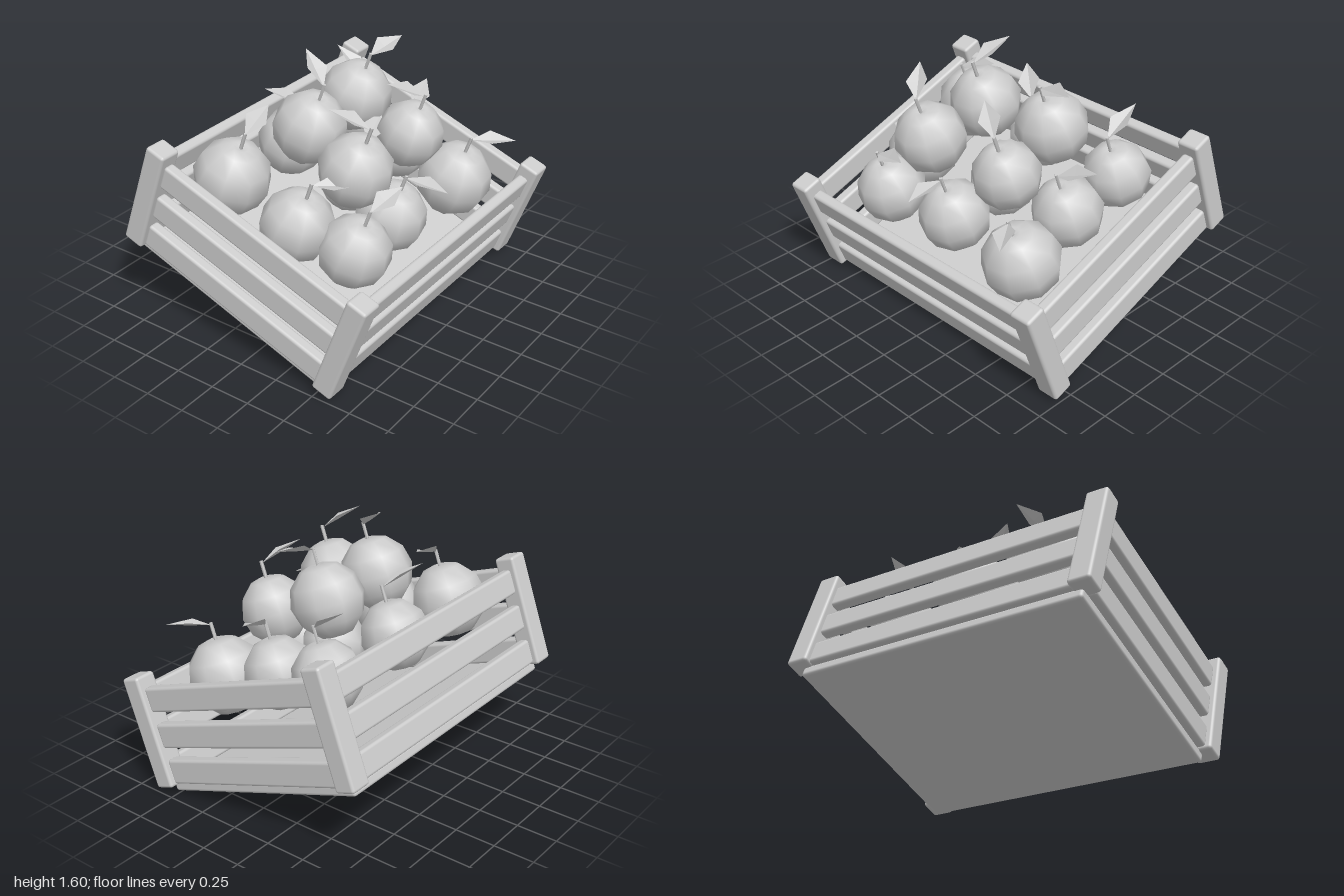
import * as THREE from 'three';
import { RoundedBoxGeometry } from 'three/addons/geometries/RoundedBoxGeometry.js';

const TILT = THREE.MathUtils.degToRad(20);

export function createModel() {
  const model = new THREE.Group();
  model.name = 'fruitCrate';
  const grey = new THREE.MeshStandardMaterial({ color: 0xcccccc });
  grey.name = 'grey';
  const leafGrey = grey.clone();
  leafGrey.name = 'leafGrey';
  leafGrey.side = THREE.DoubleSide;
  leafGrey.flatShading = true;

  // Crate, leaning down towards the front
  const crate = new THREE.Group();
  crate.name = 'crate';
  crate.rotation.x = TILT;
  model.add(crate);
  const midZ = -0.212;
  const board = (name, w, h, d, x, y, z) => {
    const mesh = new THREE.Mesh(new RoundedBoxGeometry(w, h, d, 2, 0.018), grey);
    mesh.name = name;
    mesh.position.set(x, y, midZ + z);
    crate.add(mesh);
  };
  board('floor', 1.85, 0.065, 1.42, 0, 0.218, 0);
  for (const s of [-1, 1]) {
    for (const t of [-1, 1]) board('cornerPost', 0.14, 0.69, 0.13, s * 0.93, 0.582, t * 0.714);
    for (const y of [0.325, 0.55, 0.776]) {
      board('sideSlat', 0.072, 0.152, 1.31, s * 0.93, y, 0);
      board(s > 0 ? 'frontSlat' : 'backSlat', 1.76, 0.152, 0.068, 0, y, s * 0.709);
    }
  }

  // Fruit body: coarse round profile with a small dimple, unit radius
  const profile = [[0, -0.97], [0.46, -0.89], [0.85, -0.5], [1, 0], [0.87, 0.5], [0.5, 0.88], [0.2, 0.97], [0, 0.9]]
    .map(([r, y]) => new THREE.Vector2(r, y));
  const bodyGeo = new THREE.LatheGeometry(profile, 9);
  const stemGeo = new THREE.CylinderGeometry(0.011, 0.011, 0.12, 4);

  // Leaf: a pointed diamond folded along its spine
  const leafGeo = new THREE.BufferGeometry();
  leafGeo.setAttribute('position', new THREE.Float32BufferAttribute([
    0, 0, 0, 0.11, 0.055, 0.065, 0.12, 0.03, 0, 0.11, 0.055, -0.065, 0.26, 0.07, 0], 3));
  leafGeo.setIndex([0, 1, 2, 1, 4, 2, 0, 2, 3, 2, 4, 3]);
  leafGeo.computeVertexNormals();

  // x, y, z, radius, then leaf direction as x and z
  const fruits = [
    [-0.615, 0.945, -0.335, 0.23, 44, -10],
    [-0.037, 0.93, -0.35, 0.21, -27, -27],
    [0.567, 0.9, -0.335, 0.205, 2, -32],
    [-0.605, 0.775, 0.115, 0.22, 20, 24],
    [0.53, 0.79, 0.04, 0.215, 30, -10],
    [-0.52, 0.68, 0.446, 0.215, 45, 3],
    [-0.052, 0.66, 0.37, 0.22, 4, 49],
    [0.555, 0.66, 0.435, 0.235, 32, 43],
    [0.02, 0.77, 0.05, 0.2, 32, -11],
    [-0.235, 1.18, -0.067, 0.22, 14, -32],
    [0.27, 1.185, -0.1, 0.22, 53, 6],
    [-0.315, 1.05, 0.307, 0.22, -25, -34],
    [0.285, 1.03, 0.28, 0.205, -32, -25],
  ];
  for (const [x, y, z, r, dx, dz] of fruits) {
    const fruit = new THREE.Group();
    fruit.name = 'fruit';
    fruit.position.set(x, y, z);
    fruit.rotation.set(TILT, Math.atan2(-dz, dx), 0);
    const body = new THREE.Mesh(bodyGeo, grey);
    body.name = 'fruitBody';
    body.scale.setScalar(r);
    const stem = new THREE.Mesh(stemGeo, grey);
    stem.name = 'stem';
    stem.position.y = r + 0.03;
    const leaf = new THREE.Mesh(leafGeo, leafGrey);
    leaf.name = 'leaf';
    leaf.position.y = r + 0.075;
    fruit.add(body, stem, leaf);
    model.add(fruit);
  }
  return model;
}
